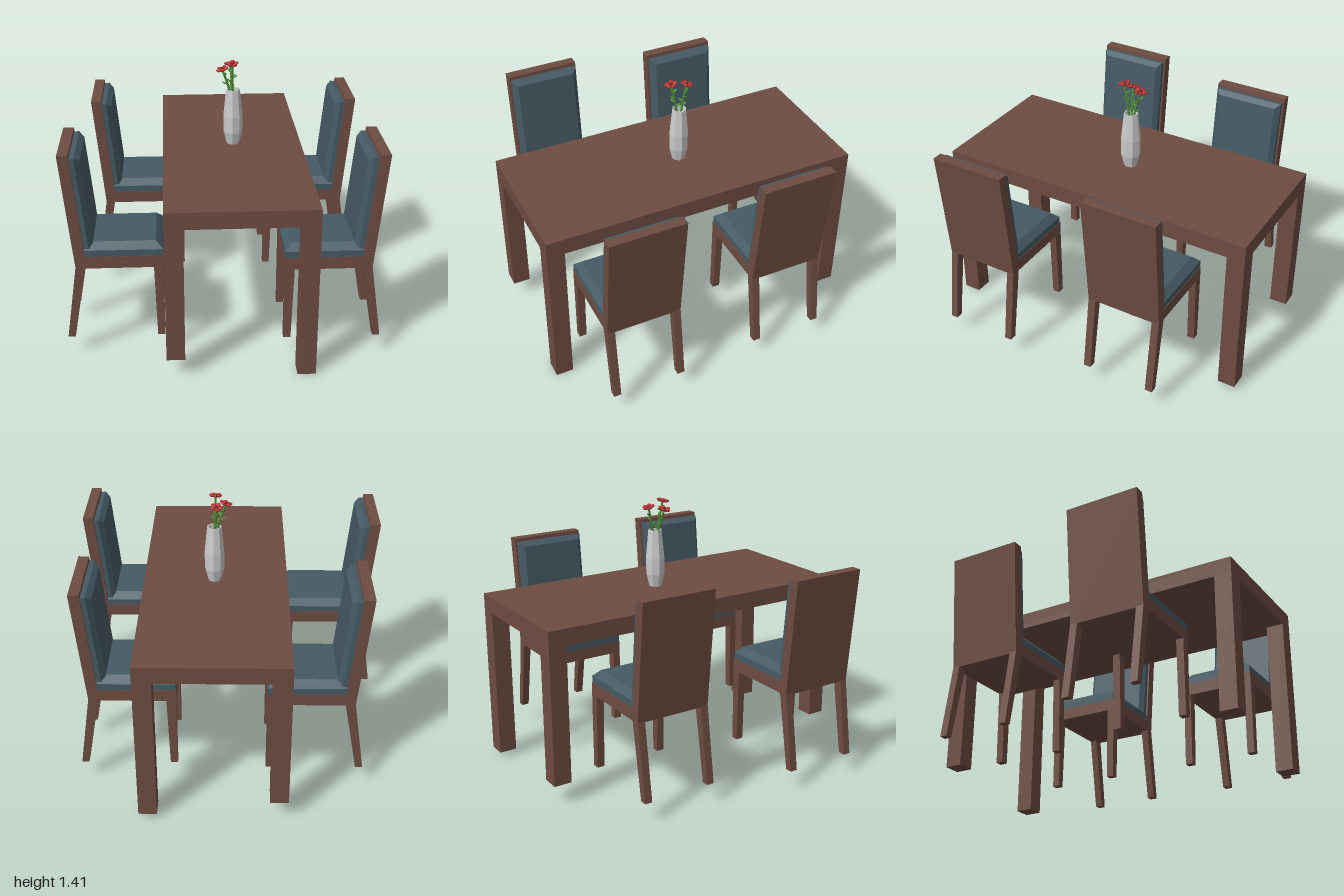
import * as THREE from 'three';

const mat = (color, extra = {}) => new THREE.MeshStandardMaterial({ color, flatShading: true, ...extra });
const wood = mat(0x6d4c41), fabric = mat(0x455a64), grey = mat(0xcccccc, { side: THREE.DoubleSide });
const green = mat(0x4c8a35, { side: THREE.DoubleSide }), red = mat(0xb83232), darkRed = mat(0x6e1c1c);

function add(parent, name, geometry, material, x = 0, y = 0, z = 0) {
  const mesh = new THREE.Mesh(geometry, material);
  mesh.name = name;
  mesh.position.set(x, y, z);
  parent.add(mesh);
  return mesh;
}

// Box whose top edge is chamfered on all four sides
function cushionGeometry(w, h, d, inset) {
  const g = new THREE.BoxGeometry(w, h, d, 1, 2, 1).toNonIndexed();
  const p = g.attributes.position;
  for (let i = 0; i < p.count; i++) {
    if (p.getY(i) < h / 4) continue;
    p.setX(i, p.getX(i) - Math.sign(p.getX(i)) * inset);
    p.setZ(i, p.getZ(i) - Math.sign(p.getZ(i)) * inset);
  }
  g.computeVertexNormals();
  return g;
}

// Side profile in x (back to front) and y, extruded across z
function slab(points, width) {
  const shape = new THREE.Shape(points.map(([x, y]) => new THREE.Vector2(x, y)));
  return new THREE.ExtrudeGeometry(shape, { depth: width, bevelEnabled: false }).translate(0, 0, -width / 2);
}

const CHAIR_W = 0.405;

// Chair with its back at x = 0, facing +x
function createChair() {
  const chair = new THREE.Group();
  chair.name = 'chair';
  add(chair, 'chairFrame', slab([[0.06, 0.51], [0.51, 0.51], [0.51, 0.575], [0.11, 0.575], [0.055, 1.13], [0, 1.13]], CHAIR_W), wood);
  add(chair, 'seatCushion', cushionGeometry(0.405, 0.07, CHAIR_W - 0.006, 0.035), fabric, 0.307, 0.61, 0);

  // Back cushion lies on the leaning front of the backrest
  const lean = Math.atan2(0.055, 0.555);
  const back = add(chair, 'backCushion', cushionGeometry(0.53, 0.05, CHAIR_W - 0.02, 0.025), fabric,
    0.0835 + 0.025 * Math.cos(lean), 0.847 + 0.025 * Math.sin(lean), 0);
  back.rotation.z = lean - Math.PI / 2;

  for (const s of [-1, 1]) {
    const z = s * (CHAIR_W / 2 - 0.02);
    add(chair, 'backLeg', slab([[0, 0.108], [0.038, 0.108], [0.11, 0.52], [0.06, 0.52]], 0.04), wood, 0, 0, z);
    add(chair, 'frontLeg', slab([[0.472, 0.108], [0.51, 0.108], [0.51, 0.52], [0.46, 0.52]], 0.04), wood, 0, 0, z);
  }
  return chair;
}

function createTable() {
  const table = new THREE.Group();
  table.name = 'table';
  const w = 0.765, l = 1.752, leg = 0.095;
  add(table, 'tableTop', new THREE.BoxGeometry(w, 0.09, l), wood, 0, 0.885, 0);
  // Legs end at different heights
  for (const [sx, sz, foot] of [[1, 1, 0], [1, -1, 0.03], [-1, 1, 0.107], [-1, -1, 0.11]]) {
    const h = 0.84 - foot;
    add(table, 'tableLeg', new THREE.BoxGeometry(leg, h, leg), wood,
      sx * (w - leg) / 2, foot + h / 2, sz * (l - leg) / 2);
  }
  return table;
}

function createFlower(x, y, z, turn) {
  const flower = new THREE.Group();
  flower.name = 'flower';
  // Stem from inside the vase to the bloom
  const curve = new THREE.CatmullRomCurve3([
    new THREE.Vector3(0, 1.05, 0),
    new THREE.Vector3(x * 0.3, 1.23, z * 0.3),
    new THREE.Vector3(x, y, z)]);
  add(flower, 'stem', new THREE.TubeGeometry(curve, 8, 0.006, 5), green);
  // Leaves alternate along the upper stem
  for (let i = 0; i < 4; i++) {
    const p = curve.getPoint(0.6 + i * 0.09), a = turn + i * 2.2;
    const leaf = add(flower, 'leaf', new THREE.SphereGeometry(1, 6, 4), green,
      p.x + Math.cos(a) * 0.012, p.y, p.z - Math.sin(a) * 0.012);
    leaf.scale.set(0.018, 0.004, 0.009);
    leaf.rotation.set(0, a, 0.5);
  }
  // Five petals around a dark centre, tipped slightly outward
  const bloom = new THREE.Group();
  bloom.name = 'bloom';
  bloom.position.set(x, y, z);
  bloom.rotation.set(z * 5, 0, -x * 5);
  for (let i = 0; i < 5; i++) {
    const a = turn + i * Math.PI * 2 / 5;
    const petal = add(bloom, 'petal', new THREE.SphereGeometry(1, 7, 5), red,
      Math.cos(a) * 0.02, 0.004, -Math.sin(a) * 0.02);
    petal.scale.set(0.016, 0.008, 0.014);
    petal.rotation.set(0, a, 0.3);
  }
  add(bloom, 'bloomCentre', new THREE.SphereGeometry(0.009, 7, 5), darkRed, 0, 0.006, 0);
  flower.add(bloom);
  return flower;
}

function createVase() {
  const vase = new THREE.Group();
  vase.name = 'vaseWithFlowers';
  const profile = [[0, 0.931], [0.035, 0.931], [0.052, 1.0], [0.053, 1.09], [0.038, 1.243], [0.032, 1.243], [0.042, 1.09], [0, 1.04]];
  add(vase, 'vase', new THREE.LatheGeometry(profile.map(([r, y]) => new THREE.Vector2(r, y)), 8), grey);
  vase.add(createFlower(-0.06, 1.36, -0.02, 0.3));
  vase.add(createFlower(0.02, 1.37, -0.045, 1.1));
  vase.add(createFlower(-0.033, 1.395, 0.03, 0.8));
  vase.position.set(0.115, 0, -0.05);
  return vase;
}

export function createModel() {
  const model = new THREE.Group();
  model.name = 'diningSet';

  // Table and chairs share one turned frame
  const furniture = new THREE.Group();
  furniture.name = 'furniture';
  furniture.rotation.y = -THREE.MathUtils.degToRad(39);
  const table = createTable();
  table.position.set(0.052, 0, -0.081);
  furniture.add(table);

  // Back position, sideways position; chairs on +x face the other way
  for (const [x, z] of [[-0.846, 0.342], [-0.729, -0.468], [0.757, -0.439], [0.793, 0.407]]) {
    const chair = createChair();
    chair.position.set(x, 0, z);
    if (x > 0) chair.rotation.y = Math.PI;
    furniture.add(chair);
  }

  model.add(furniture, createVase());
  return model;
}
